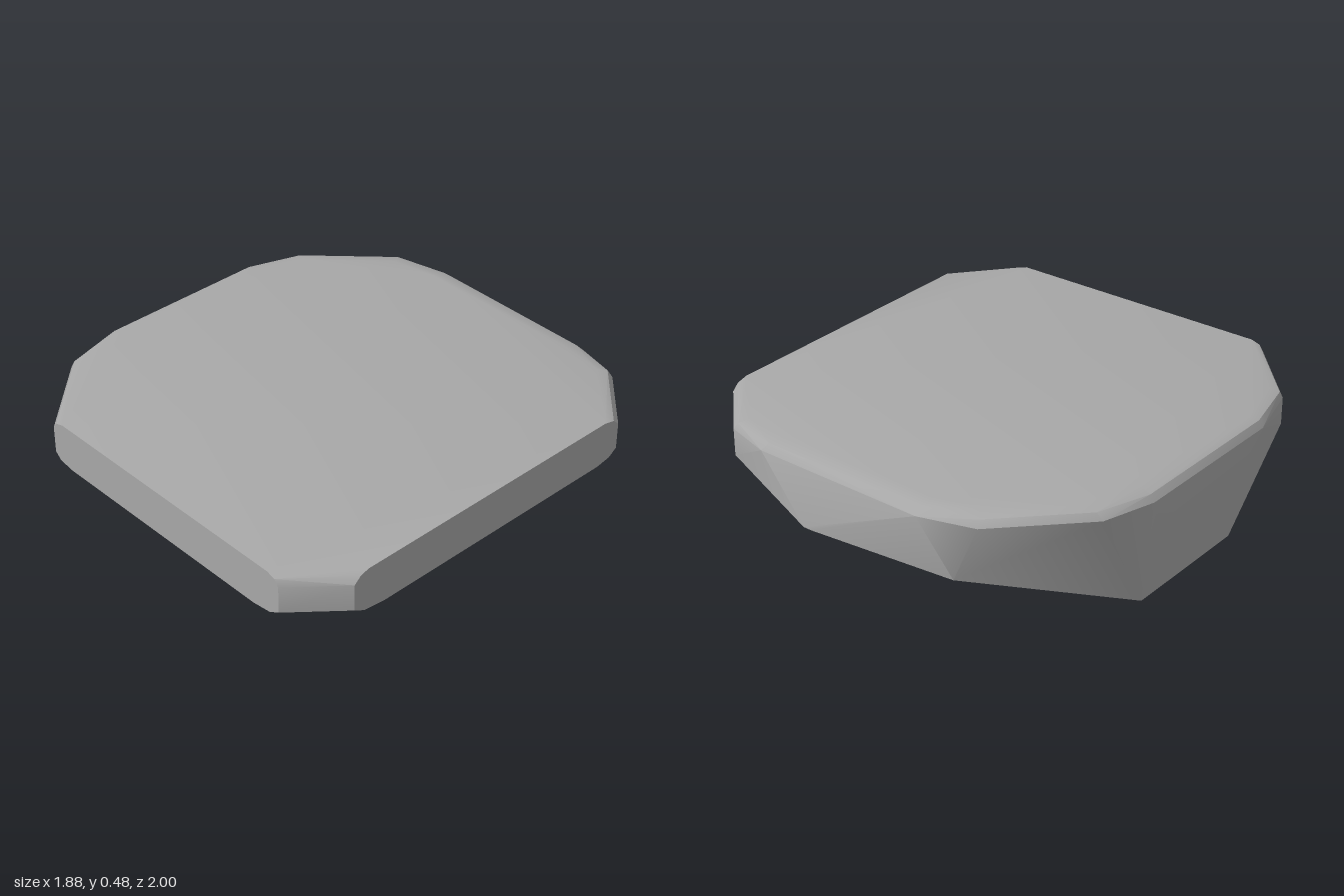
import * as THREE from 'three';
import { ConvexGeometry } from 'three/addons/geometries/ConvexGeometry.js';
import { toCreasedNormals } from 'three/addons/utils/BufferGeometryUtils.js';

export function createModel() {
  const group = new THREE.Group();
  group.name = 'pavingStone';
  const stoneGrey = new THREE.MeshStandardMaterial({ color: 0xa8a8a8 });
  stoneGrey.name = 'stoneGrey';

  const points = [];
  const ring = (y, outline) => outline.forEach(([x, z]) => points.push(new THREE.Vector3(x, y, z)));

  // flat top, flush with the two cut sides and drawn in at the worn ones
  ring(0.48, [[-0.52, 1], [0.7, 1], [0.94, 0.72], [0.94, -0.58], [0.66, -0.84], [0.45, -0.87],
    [-0.3, -0.86], [-0.5, -0.82], [-0.79, -0.54], [-0.87, -0.32], [-0.89, 0.4], [-0.82, 0.66]]);

  // rounded shoulder below the top
  ring(0.468, [[-0.56, 1], [0.74, 1], [0.94, 0.76], [0.94, -0.63], [0.69, -0.88], [0.48, -0.925],
    [-0.3, -0.925], [-0.53, -0.87], [-0.84, -0.56], [-0.92, -0.33], [-0.925, 0.42], [-0.86, 0.68]]);

  // widest outline
  ring(0.44, [[-0.58, 1], [0.76, 1], [0.94, 0.79], [0.94, -0.66], [0.71, -0.89], [0.5, -0.95],
    [-0.3, -0.96], [-0.54, -0.89], [-0.87, -0.56], [-0.94, -0.33], [-0.945, 0.42], [-0.87, 0.69]]);

  // lower edge of the upright corners
  ring(0.32, [[-0.58, 1], [0.76, 1], [0.94, 0.79], [0.94, -0.66], [0.71, -0.89],
    [-0.87, 0.69], [-0.94, 0.3], [-0.94, -0.3]]);

  // rounded lower corners of the two cut sides
  ring(0.292, [[-0.55, 1], [0.71, 1], [0.94, 0.74], [0.94, -0.62]]);
  ring(0.28, [[-0.48, 1], [0.62, 1], [0.94, 0.64], [0.94, -0.55]]);

  // back ledge that leans outward
  ring(0.21, [[0.2, -1], [0.24, -1]]);
  ring(0.18, [[-0.43, -0.9]]);

  // small foot under the left side
  ring(0, [[-0.91, 0.26], [-0.91, -0.35], [-0.86, -0.35], [-0.78, 0.1], [-0.78, 0.3], [-0.87, 0.3]]);

  const stone = new THREE.Mesh(toCreasedNormals(new ConvexGeometry(points), 0.55), stoneGrey);
  stone.name = 'stone';
  group.add(stone);
  return group;
}
